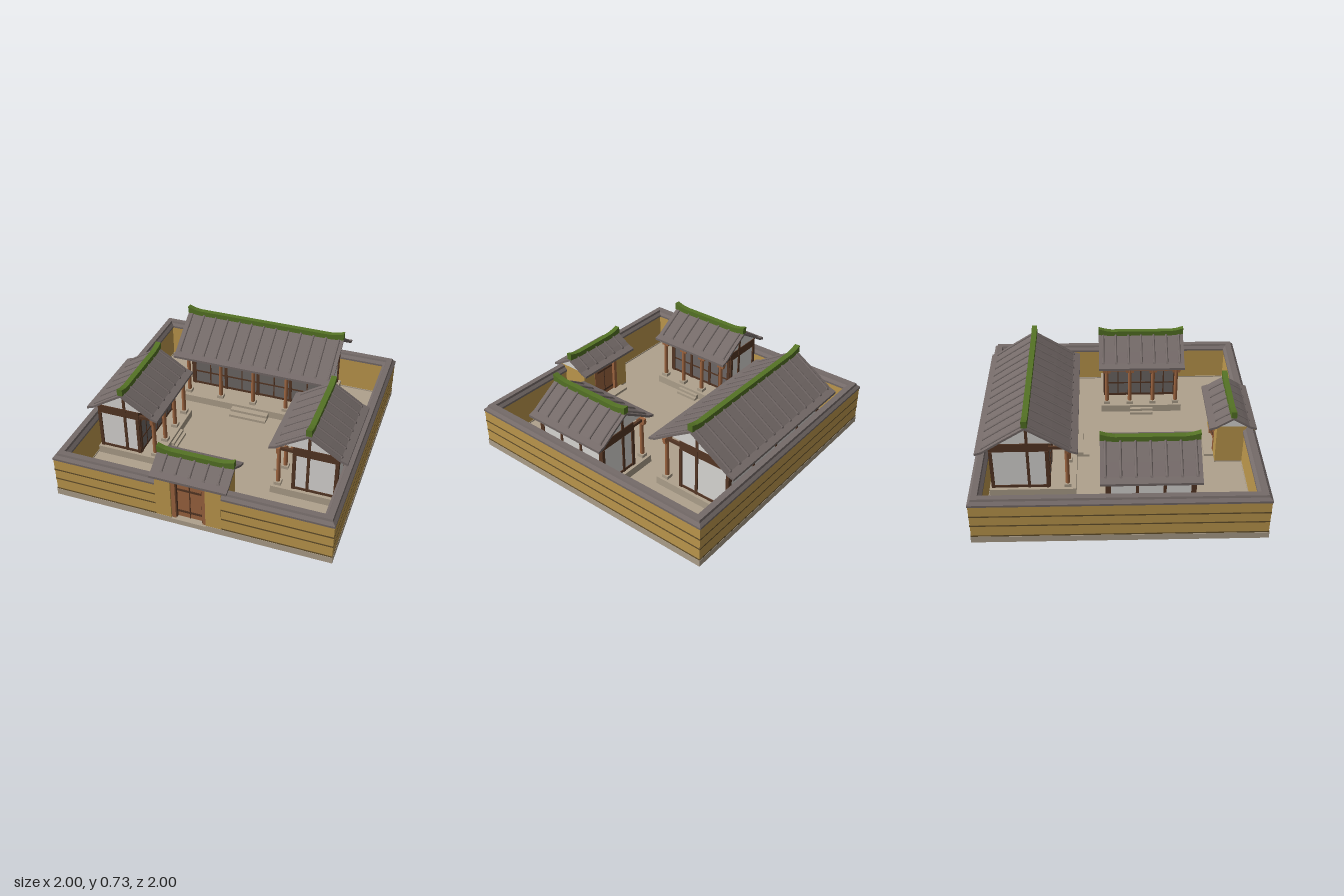
import * as THREE from 'three';

const material = (name, color, extra = {}) => {
  const m = new THREE.MeshStandardMaterial({ color, ...extra });
  m.name = name;
  return m;
};
const stone = material('stone', 0xb0a28d);
const earth = material('ochre earth', 0xc09a4e);
const groove = material('wall groove', 0x65512c);
const tile = material('roof tile', 0x756b69);
const moss = material('green ridge', 0x557325);
const plaster = material('plaster', 0xdcdad7);
const timber = material('dark timber', 0x563725);
const wood = material('warm wood', 0x9e6540);
const screen = material('screen panel', 0x6f6967);

function add(parent, name, geometry, mat) {
  const mesh = new THREE.Mesh(geometry, mat);
  mesh.name = name;
  parent.add(mesh);
  return mesh;
}

// Box given by its limits on each axis
function box(parent, name, mat, x0, x1, y0, y1, z0, z1) {
  const g = new THREE.BoxGeometry(x1 - x0, y1 - y0, z1 - z0);
  g.translate((x0 + x1) / 2, (y0 + y1) / 2, (z0 + z1) / 2);
  return add(parent, name, g, mat);
}

const shapeOf = pts => new THREE.Shape(pts.map(p => new THREE.Vector2(p[0], p[1])));

// Extrude a (z, y) section along x, centred on x
function alongX(pts, length, x = 0) {
  const g = new THREE.ExtrudeGeometry(shapeOf(pts), { depth: length, bevelEnabled: false });
  return g.translate(0, 0, -length / 2).rotateY(Math.PI / 2).translate(x, 0, 0);
}

// Wall run on one side; section is (distance from centre, y), open ends are mitred
function wallRun(parent, name, mat, section, side, a = null, b = null) {
  const g = new THREE.ExtrudeGeometry(shapeOf(section), { depth: 1, bevelEnabled: false });
  const p = g.attributes.position;
  for (let i = 0; i < p.count; i++) {
    const r = p.getX(i);
    p.setXYZ(i, p.getZ(i) > 0.5 ? (a ?? -r) : (b ?? r), p.getY(i), r);
  }
  g.rotateY(side * Math.PI / 2);
  g.computeVertexNormals();
  add(parent, name, g, mat);
}

function perimeterWall(parent) {
  const rect = (r0, r1, y0, y1) => [[r0, y0], [r1, y0], [r1, y1], [r0, y1]];
  const layers = [
    ['plinth', stone, rect(0.918, 1, 0, 0.05)],
    ['earthWall', earth, rect(0.922, 0.996, 0.05, 0.315)],
    ['wallCap', tile, [[0.91, 0.31], [1, 0.31], [1, 0.325], [0.98, 0.343], [0.975, 0.358],
      [0.935, 0.358], [0.93, 0.343], [0.91, 0.325]]],
    ...[0.055, 0.145, 0.225].map(y => ['wallGroove', groove, rect(0.99, 0.998, y - 0.005, y + 0.005)]),
  ];
  const runs = [[0, null, -0.235], [0, 0.235, null], [1], [2], [3]];
  for (const [name, mat, section] of layers)
    for (const [side, a, b] of runs) wallRun(parent, name, mat, section, side, a, b);
}

// Gabled tile roof with ribs and an upturned ridge, ridge along x
function roof(parent, { length, half, eave, apex, ribs, ribStep = 0.1 }) {
  const group = new THREE.Group();
  group.name = 'roof';
  parent.add(group);
  const slope = [
    [0, apex], [half * 0.5, (apex + eave) / 2 - 0.004],
    [half - 0.05, eave + 0.02], [half, eave + 0.004],
  ];
  const mirror = pts => pts.map(([z, y]) => [-z, y]);
  const under = slope.map(([z, y]) => [z, y - 0.018]);
  add(group, 'tileRoof', alongX([
    ...mirror(slope).reverse(), ...slope.slice(1), ...[...under].reverse(), ...mirror(under).slice(1),
  ], length), tile);

  for (let i = 0; i < ribs; i++) {
    const x = (i - (ribs - 1) / 2) * ribStep;
    for (const s of [-1, 1]) {
      const path = new THREE.CurvePath();
      const pts = slope.slice(0, 3).map(([z, y]) => new THREE.Vector3(x, y + 0.003, s * z));
      path.add(new THREE.LineCurve3(pts[0], pts[1]));
      path.add(new THREE.LineCurve3(pts[1], pts[2]));
      add(group, 'tileRib', new THREE.TubeGeometry(path, 4, 0.009, 8), tile);
      const end = add(group, 'ribEnd', new THREE.CylinderGeometry(0.011, 0.011, 0.008, 10), tile);
      end.position.copy(pts[2]);
      end.rotation.x = s * 1.05;
    }
  }

  const l = length / 2, b = apex - 0.012, t = apex + 0.026;
  const ridge = new THREE.ExtrudeGeometry(shapeOf([
    [-l, b + 0.01], [-l + 0.09, b], [l - 0.09, b], [l, b + 0.01],
    [l, t + 0.024], [l - 0.05, t + 0.008], [l - 0.1, t],
    [-l + 0.1, t], [-l + 0.05, t + 0.008], [-l, t + 0.024],
  ]), { depth: 0.04, bevelEnabled: false });
  add(group, 'ridge', ridge.translate(0, 0, -0.02), moss);
}

// Timber-framed house, ridge along x and porch facing +z
function house(parent, name, o) {
  const g = new THREE.Group();
  g.name = name;
  parent.add(g);
  const { w, back, front, porch, beam, top, eave, apex, half, posts, deck, step } = o;
  const floor = 0.1;

  // Stone platform and steps
  box(g, 'platform', stone, -w - 0.03, w + 0.03, 0.03, floor, back - 0.02, deck);
  box(g, 'upperStep', stone, -o.stepHalf, o.stepHalf, 0.03, 0.08, deck, (deck + step) / 2);
  box(g, 'lowerStep', stone, -o.stepHalf, o.stepHalf, 0.03, 0.06, deck, step);

  // Walls, sill and top beam
  box(g, 'walls', plaster, -w, w, floor, top, back, front);
  const ring = (n, y0, y1, e) => box(g, n, timber, -w - e, w + e, y0, y1, back - e, front + e);
  ring('topBeam', beam, top, 0.006);
  ring('sill', floor, floor + 0.02, 0.005);

  // Gables with a king post
  const under = apex - 0.014;
  const reach = half * (under - top) / (apex - eave);
  for (const s of [-1, 1]) {
    add(g, 'gable', alongX([[-reach, top], [reach, top], [0, under]], 0.02, s * (w - 0.01)), plaster);
    box(g, 'kingPost', timber, s * w - 0.008, s * w + 0.008, floor, under - 0.008, -0.01, 0.01);
    box(g, 'tieBeam', timber, s * (w - 0.01) - 0.01, s * (w - 0.01) + 0.01, beam + 0.012, beam + 0.034, front, porch);
    for (const z of [back + 0.006, front - 0.006])
      box(g, 'cornerPost', timber, s * w - 0.01, s * w + 0.01, floor, beam, z - 0.012, z + 0.012);
  }

  // Porch columns with stone footings, and matching wall posts
  const bay = 2 * (w - 0.015) / (posts - 1);
  for (let i = 0; i < posts; i++) {
    const x = -(w - 0.015) + i * bay;
    const column = add(g, 'porchColumn', new THREE.CylinderGeometry(0.014, 0.016, beam + 0.035 - floor, 12), wood);
    column.position.set(x, (beam + 0.035 + floor) / 2, porch);
    box(g, 'footing', stone, x - 0.025, x + 0.025, floor, floor + 0.025, porch - 0.025, porch + 0.025);
    box(g, 'bracket', wood, x - 0.03, x + 0.03, beam - 0.012, beam + 0.005, porch - 0.012, porch + 0.012);
    box(g, 'wallPost', timber, x - 0.01, x + 0.01, floor, beam, back - 0.006, back + 0.006);
    box(g, 'wallPost', timber, x - 0.012, x + 0.012, floor, beam, front - 0.006, front + 0.01);
    if (i === posts - 1) continue;
    // Screened doors in each bay
    const mid = x + bay / 2, d = bay / 2 - 0.012;
    box(g, 'screenPanel', screen, mid - d, mid + d, floor + 0.02, beam - 0.04, front - 0.003, front + 0.004);
    box(g, 'doorHead', wood, mid - d, mid + d, beam - 0.04, beam, front - 0.003, front + 0.006);
    box(g, 'doorStile', timber, mid - 0.005, mid + 0.005, floor + 0.02, beam - 0.04, front, front + 0.007);
    box(g, 'doorRail', timber, mid - d, mid + d, 0.215, 0.227, front, front + 0.007);
  }
  box(g, 'porchBeam', wood, -w - 0.02, w + 0.02, beam + 0.005, beam + 0.037, porch - 0.012, porch + 0.012);
  roof(g, o);
  return g;
}

function gate(parent) {
  const g = new THREE.Group();
  g.name = 'gate';
  g.position.z = 0.83;
  parent.add(g);
  box(g, 'threshold', stone, -0.127, 0.127, 0, 0.04, -0.11, 0.17);
  box(g, 'innerStep', stone, -0.165, 0.165, 0.03, 0.06, -0.18, -0.1);
  for (const s of [-1, 1]) {
    const [a, b] = s > 0 ? [0.124, 0.235] : [-0.235, -0.124];
    box(g, 'gatePier', earth, a, b, 0.05, 0.37, -0.11, 0.168);
    box(g, 'pierFoot', stone, a, b, 0, 0.05, -0.11, 0.17);
    add(g, 'gateGable', alongX([[-0.155, 0.366], [0.155, 0.366], [0, 0.458]], 0.02, s * 0.225), plaster);
    for (const z of [-0.1, 0.14])
      box(g, 'jamb', wood, s * 0.11 - 0.014, s * 0.11 + 0.014, 0.04, 0.37, z - 0.014, z + 0.014);
    box(g, 'jambEdge', timber, s * 0.094 - 0.004, s * 0.094 + 0.004, 0.04, 0.35, 0.12, 0.142);
  }
  box(g, 'doorLeaves', wood, -0.12, 0.12, 0.04, 0.36, -0.09, 0.125);
  for (const z of [-0.092, 0.127]) {
    for (const y of [0.09, 0.28]) box(g, 'doorBand', timber, -0.09, 0.09, y - 0.008, y + 0.008, z - 0.003, z + 0.003);
    box(g, 'doorSeam', timber, -0.003, 0.003, 0.04, 0.35, z - 0.003, z + 0.003);
  }
  box(g, 'lintel', timber, -0.124, 0.124, 0.348, 0.372, -0.11, 0.15);
  roof(g, { length: 0.55, half: 0.17, eave: 0.375, apex: 0.47, ribs: 5 });
}

export function createModel() {
  const model = new THREE.Group();
  model.name = 'walledCourtyard';
  box(model, 'courtyardFloor', stone, -0.996, 0.996, 0, 0.04, -0.996, 0.996);
  perimeterWall(model);
  gate(model);

  const hall = house(model, 'mainHall', {
    w: 0.555, back: -0.26, front: 0.14, porch: 0.27, beam: 0.418, top: 0.485,
    eave: 0.46, apex: 0.676, half: 0.35, length: 1.27, ribs: 13,
    posts: 5, deck: 0.33, step: 0.42, stepHalf: 0.15,
  });
  hall.position.z = -0.63;

  for (const s of [-1, 1]) {
    const wing = house(model, s > 0 ? 'leftWing' : 'rightWing', {
      w: 0.29, back: -0.205, front: 0.105, porch: 0.215, beam: 0.4, top: 0.466,
      eave: 0.455, apex: 0.618, half: 0.275, length: 0.67, ribs: 7,
      posts: 4, deck: 0.26, step: 0.305, stepHalf: 0.09,
    });
    wing.position.set(s * 0.685, 0, 0.205);
    wing.rotation.y = -s * Math.PI / 2;
  }
  return model;
}
